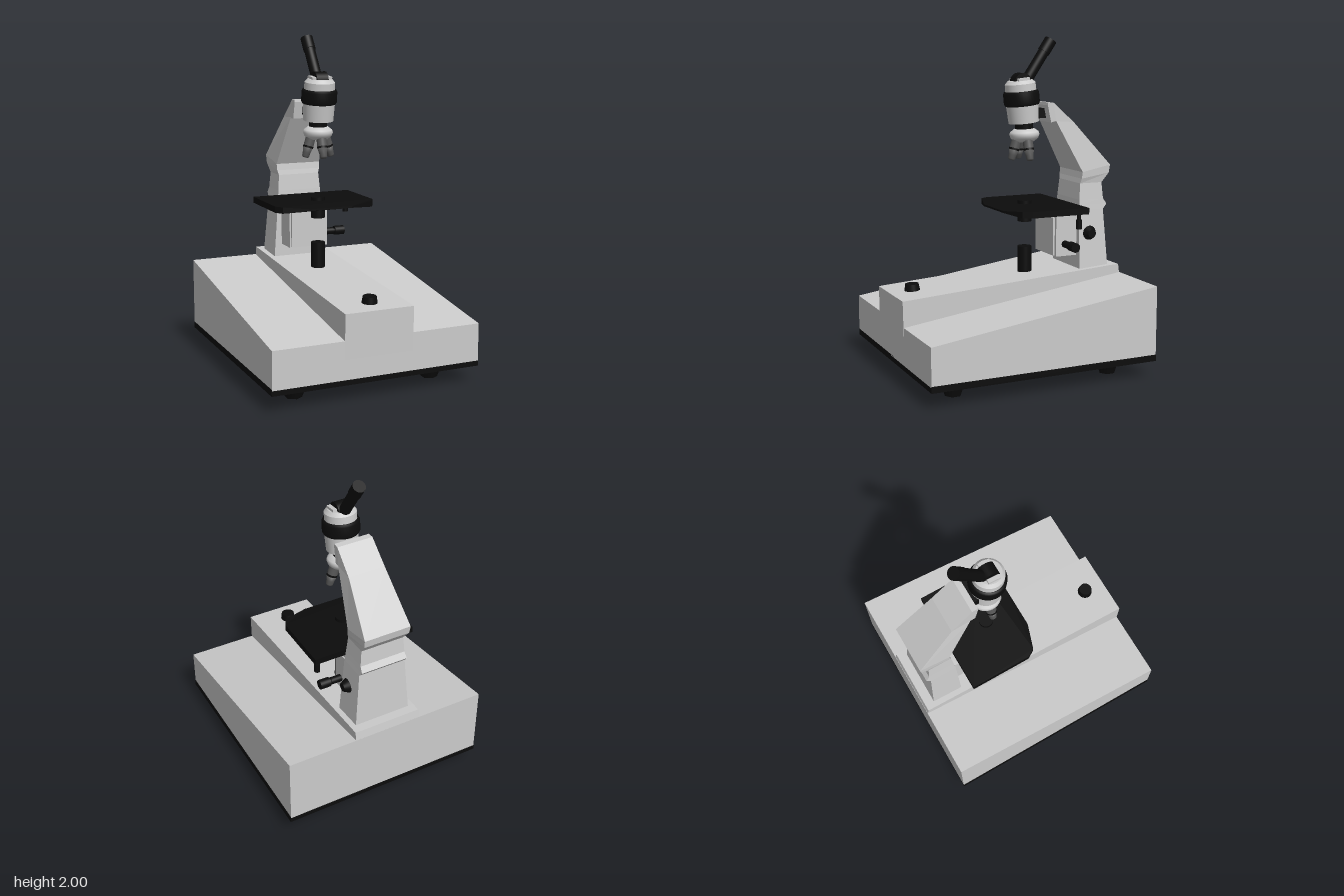
import * as THREE from 'three';

const grey = new THREE.MeshStandardMaterial({ color: 0xcccccc, flatShading: true });
const smoothGrey = new THREE.MeshStandardMaterial({ color: 0xcccccc });
const pale = new THREE.MeshStandardMaterial({ color: 0xf2f2f0 });
const dark = new THREE.MeshStandardMaterial({ color: 0x555555 });
const black = new THREE.MeshStandardMaterial({ color: 0x0c0c0c });

function add(parent, name, geometry, material, x = 0, y = 0, z = 0) {
  const mesh = new THREE.Mesh(geometry, material);
  mesh.name = name;
  mesh.position.set(x, y, z);
  parent.add(mesh);
  return mesh;
}

const box = (w, h, d) => new THREE.BoxGeometry(w, h, d);
const cyl = (rTop, rBottom, h, sides = 32) => new THREE.CylinderGeometry(rTop, rBottom, h, sides);

// Side profile of [z, y] points given width across x
function prism(profile, width) {
  const shape = new THREE.Shape(profile.map(p => new THREE.Vector2(...p)));
  const g = new THREE.ExtrudeGeometry(shape, { depth: width, bevelEnabled: false });
  return g.translate(0, 0, -width / 2).rotateY(-Math.PI / 2);
}

// Closed skin over four-cornered sections: [front z, front y, back z, back y, half width]
function loft(sections) {
  const pos = [], index = [];
  for (const [fz, fy, bz, by, w] of sections) pos.push(-w, fy, fz, w, fy, fz, w, by, bz, -w, by, bz);
  const last = (sections.length - 1) * 4;
  for (let s = 0; s < last; s += 4) {
    for (let k = 0; k < 4; k++) {
      const a = s + k, b = s + (k + 1) % 4;
      index.push(a, b, b + 4, a, b + 4, a + 4);
    }
  }
  index.push(0, 2, 1, 0, 3, 2, last, last + 1, last + 2, last, last + 2, last + 3);
  const g = new THREE.BufferGeometry();
  g.setAttribute('position', new THREE.Float32BufferAttribute(pos, 3));
  g.setIndex(index);
  const flat = g.toNonIndexed();
  flat.computeVertexNormals();
  return flat;
}

function makeBase() {
  const g = new THREE.Group();
  g.name = 'base';
  add(g, 'wedgeBody', prism([[0.71, 0.13], [0.71, 0.355], [-0.71, 0.55], [-0.71, 0.13]], 1.285), grey);
  add(g, 'centreRidge',
    prism([[0.708, 0.14], [0.715, 0.51], [-0.64, 0.6], [-0.7, 0.602], [-0.708, 0.55], [-0.708, 0.14]], 0.425), grey);
  add(g, 'bottomPlate', box(1.29, 0.038, 1.42), black, 0, 0.118, 0);
  for (const x of [-0.435, 0.435]) {
    for (const z of [-0.5, 0.5]) add(g, 'foot', cyl(0.083, 0.05, 0.1, 6), black, x, 0.05, z);
  }
  const button = add(g, 'lampButton', cyl(0.04, 0.046, 0.04), black, 0, 0.538, 0.58);
  button.rotation.x = 0.065;
  add(g, 'lamp', cyl(0.043, 0.043, 0.16), black, 0, 0.645, -0.157);
  return g;
}

function makeStage() {
  const g = new THREE.Group();
  g.name = 'stageAssembly';
  // Plate with clipped front corners and a thinned front edge
  const half = [[0.325, -0.427], [0.325, -0.05], [0.295, 0], [0.14, 0.053]];
  const outline = [...half, ...half.map(([x, z]) => [-x, z]).reverse()];
  const shape = new THREE.Shape(outline.map(([x, z]) => new THREE.Vector2(x, -z)));
  const plate = new THREE.ExtrudeGeometry(shape, { depth: 0.038, bevelEnabled: false });
  plate.translate(0, 0, -0.019).rotateX(-Math.PI / 2);
  const p = plate.attributes.position;
  for (let i = 0; i < p.count; i++) if (p.getZ(i) > 0.03) p.setY(i, p.getY(i) * 0.3);
  plate.computeVertexNormals();
  add(g, 'stagePlate', plate, black, 0, 0.97, 0);
  add(g, 'condenser', cyl(0.043, 0.043, 0.13), black, 0, 0.945, -0.157);

  // Carriage under the stage
  add(g, 'carriage', box(0.255, 0.245, 0.15), grey, 0, 0.788, -0.385);
  add(g, 'carriageFace', box(0.24, 0.235, 0.012), grey, 0, 0.79, -0.298);
  add(g, 'stageBracket',
    prism([[-0.25, 0.952], [-0.25, 0.93], [-0.27, 0.918], [-0.32, 0.915], [-0.35, 0.9], [-0.42, 0.9], [-0.42, 0.952]], 0.24), grey);

  // Stage drive and focus controls on the left side
  add(g, 'stageDriveStem', cyl(0.012, 0.012, 0.06, 20), black, 0.288, 0.935, -0.378);
  add(g, 'stageDriveKnob', cyl(0.018, 0.018, 0.055, 20), black, 0.288, 0.887, -0.378);
  for (const [name, x, r, len] of [['focusShaft', 0.16, 0.022, 0.07], ['focusGrip', 0.2, 0.016, 0.05], ['focusKnob', 0.237, 0.029, 0.065]]) {
    add(g, name, cyl(r, r, len, 24), black, x, 0.74, -0.37).rotation.z = Math.PI / 2;
  }
  return g;
}

function makeArm() {
  const g = new THREE.Group();
  g.name = 'armAssembly';
  add(g, 'arm', loft([
    [-0.447, 0.585, -0.643, 0.585, 0.178],
    [-0.453, 0.945, -0.622, 0.945, 0.15],
    [-0.457, 0.976, -0.648, 0.976, 0.147],
    [-0.459, 1.01, -0.625, 1.01, 0.144],
    [-0.468, 1.11, -0.617, 1.11, 0.136],
    [-0.474, 1.14, -0.662, 1.168, 0.145],
    [-0.479, 1.18, -0.67, 1.217, 0.147],
    [-0.31, 1.495, -0.43, 1.485, 0.115],
    [-0.278, 1.487, -0.294, 1.605, 0.112],
    [-0.256, 1.59, -0.258, 1.607, 0.111],
  ]), grey);
  const knob = add(g, 'coarseKnob', cyl(0.026, 0.044, 0.035), black, 0.183, 0.805, -0.52);
  knob.rotation.z = -Math.PI / 2;
  add(g, 'coarseKnobShaft', cyl(0.02, 0.02, 0.05, 20), black, 0.15, 0.805, -0.52).rotation.z = Math.PI / 2;
  return g;
}

// One lens turned from a profile, hanging down from its origin
function makeObjective() {
  const g = new THREE.Group();
  g.name = 'objective';
  add(g, 'objectiveCollar', cyl(0.03, 0.031, 0.06, 24), dark, 0, -0.03, 0);
  add(g, 'objectiveBand', cyl(0.032, 0.032, 0.012, 24), black, 0, -0.064, 0);
  const profile = [[0, -0.132], [0.016, -0.132], [0.022, -0.124], [0.024, -0.1], [0.03, -0.07], [0, -0.07]];
  add(g, 'objectiveTip', new THREE.LatheGeometry(profile.map(q => new THREE.Vector2(...q)), 24), dark);
  return g;
}

function makeHead() {
  const g = new THREE.Group();
  g.name = 'head';

  // Tilted barrel, heights relative to the nosepiece
  const barrel = new THREE.Group();
  barrel.name = 'barrel';
  barrel.position.set(0, 1.41, -0.157);
  barrel.rotation.x = 0.105;
  g.add(barrel);
  add(barrel, 'neck', cyl(0.055, 0.055, 0.06), black, 0, 0.055, 0);
  add(barrel, 'lowerBody', cyl(0.098, 0.092, 0.11), smoothGrey, 0, 0.13, 0);
  const ring = [[0.09, 0.178], [0.102, 0.18], [0.109, 0.193], [0.109, 0.253], [0.102, 0.266], [0.09, 0.268]];
  add(barrel, 'gripRing', new THREE.LatheGeometry(ring.map(q => new THREE.Vector2(...q)), 40), black);
  add(barrel, 'upperBody', cyl(0.093, 0.096, 0.13), smoothGrey, 0, 0.245, 0);
  add(barrel, 'upperRim', cyl(0.075, 0.093, 0.02), smoothGrey, 0, 0.32, 0);
  for (const s of [-1, 1]) add(barrel, 'hingeCheek', box(0.025, 0.04, 0.075), grey, s * 0.052, 0.325, 0);
  add(barrel, 'hinge', cyl(0.055, 0.055, 0.075), black, 0, 0.318, -0.005).rotation.z = Math.PI / 2;

  // Eyepiece tube leaning back
  const tube = new THREE.Group();
  tube.name = 'eyepiece';
  tube.position.set(0, 1.735, -0.166);
  tube.rotation.x = -0.595;
  g.add(tube);
  add(tube, 'eyepieceTube', cyl(0.034, 0.034, 0.27), black, 0, 0.125, 0);
  add(tube, 'eyepieceCap', cyl(0.038, 0.038, 0.085), black, 0, 0.248, 0);

  // Revolving nosepiece
  const nose = [[0, -0.045], [0.06, -0.042], [0.084, -0.022], [0.092, 0], [0.086, 0.016], [0.06, 0.035], [0, 0.038]];
  const turret = add(g, 'nosepiece', new THREE.LatheGeometry(nose.map(q => new THREE.Vector2(...q)), 40), pale, 0, 1.412, -0.154);
  turret.rotation.x = 0.05;
  for (const angle of [-Math.PI / 2, 0, Math.PI / 2]) {
    const swing = new THREE.Group();
    swing.name = 'objectiveMount';
    swing.position.set(0, 1.386, -0.152);
    swing.rotation.y = angle;
    const lens = makeObjective();
    lens.position.z = 0.047;
    lens.rotation.x = -0.3;
    swing.add(lens);
    g.add(swing);
  }

  // Coupling from the barrel to the arm
  add(g, 'armCoupling', box(0.11, 0.06, 0.07), black, 0, 1.54, -0.245);
  return g;
}

export function createModel() {
  const model = new THREE.Group();
  model.name = 'microscope';
  model.add(makeBase(), makeStage(), makeArm(), makeHead());
  return model;
}
